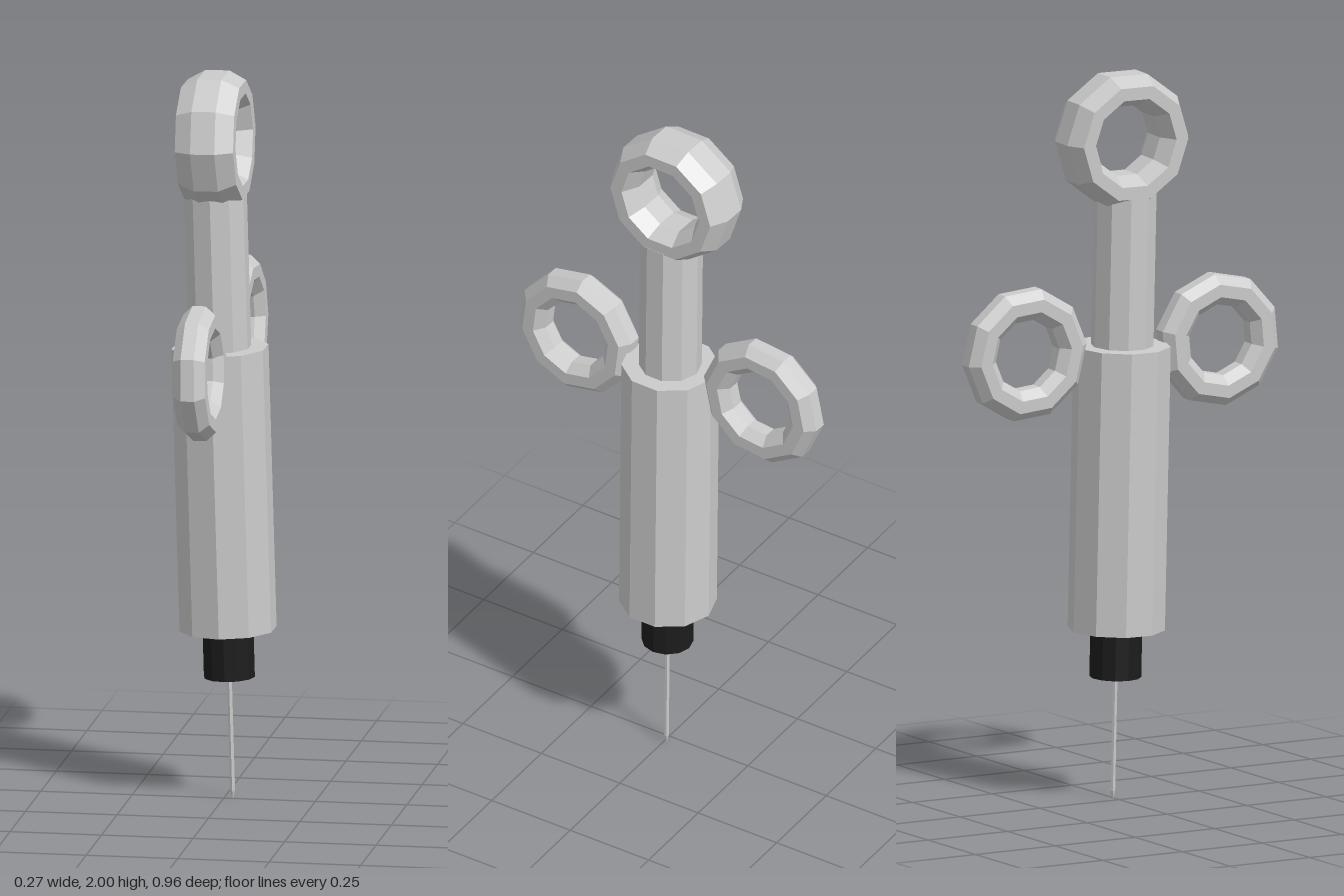
import * as THREE from 'three';

const metal = new THREE.MeshStandardMaterial({ color: 0xcccccc, flatShading: true });
const black = new THREE.MeshStandardMaterial({ color: 0x1c1c1c, flatShading: true });

// Upright faceted rod between two heights
function rod(name, bottom, top, radius, sides = 10, material = metal, bottomRadius = radius) {
  const geometry = new THREE.CylinderGeometry(radius, bottomRadius, top - bottom, sides);
  const mesh = new THREE.Mesh(geometry, material);
  mesh.name = name;
  mesh.position.y = (bottom + top) / 2;
  return mesh;
}

// Ten-sided ring facing along x, with an octagonal cross-section
function ring(name, y, z, outer, inner, width, turn = 0) {
  const middle = (outer + inner) / 2;
  const k = 1 / Math.cos(Math.PI / 8);
  const profile = [];
  for (let i = 0; i <= 8; i++) {
    const a = Math.PI / 8 + (i * Math.PI) / 4;
    profile.push(new THREE.Vector2(
      middle + ((outer - inner) / 2) * k * Math.cos(a),
      (width / 2) * k * Math.sin(a)
    ));
  }
  const geometry = new THREE.LatheGeometry(profile, 10);
  geometry.rotateZ(Math.PI / 2);
  geometry.rotateX(turn);
  const mesh = new THREE.Mesh(geometry, metal);
  mesh.name = name;
  mesh.position.set(0, y, z);
  return mesh;
}

export function createModel() {
  const syringe = new THREE.Group();
  syringe.name = 'ringSyringe';

  // Body, from the needle up
  syringe.add(rod('needleTip', 0.004, 0.025, 0.007, 6, metal, 0.002));
  syringe.add(rod('needle', 0.025, 0.35, 0.007, 6));
  syringe.add(rod('needleHub', 0.34, 0.48, 0.07, 12, black));
  syringe.add(rod('barrel', 0.472, 1.252, 0.132));
  syringe.add(rod('plunger', 1.24, 1.672, 0.085));

  // Thumb ring on the plunger, finger rings beside the barrel
  syringe.add(ring('thumbRing', 1.822, -0.015, 0.187, 0.1, 0.16));
  syringe.add(ring('frontFingerRing', 1.245, 0.294, 0.183, 0.099, 0.088, 0.2));
  syringe.add(ring('backFingerRing', 1.252, -0.303, 0.183, 0.099, 0.088, -0.1));

  // Slight lean of the whole tool
  syringe.rotation.set(0.008, -0.023, 0.027);
  syringe.position.set(0.024, 0, -0.006);

  const model = new THREE.Group();
  model.add(syringe);
  return model;
}
